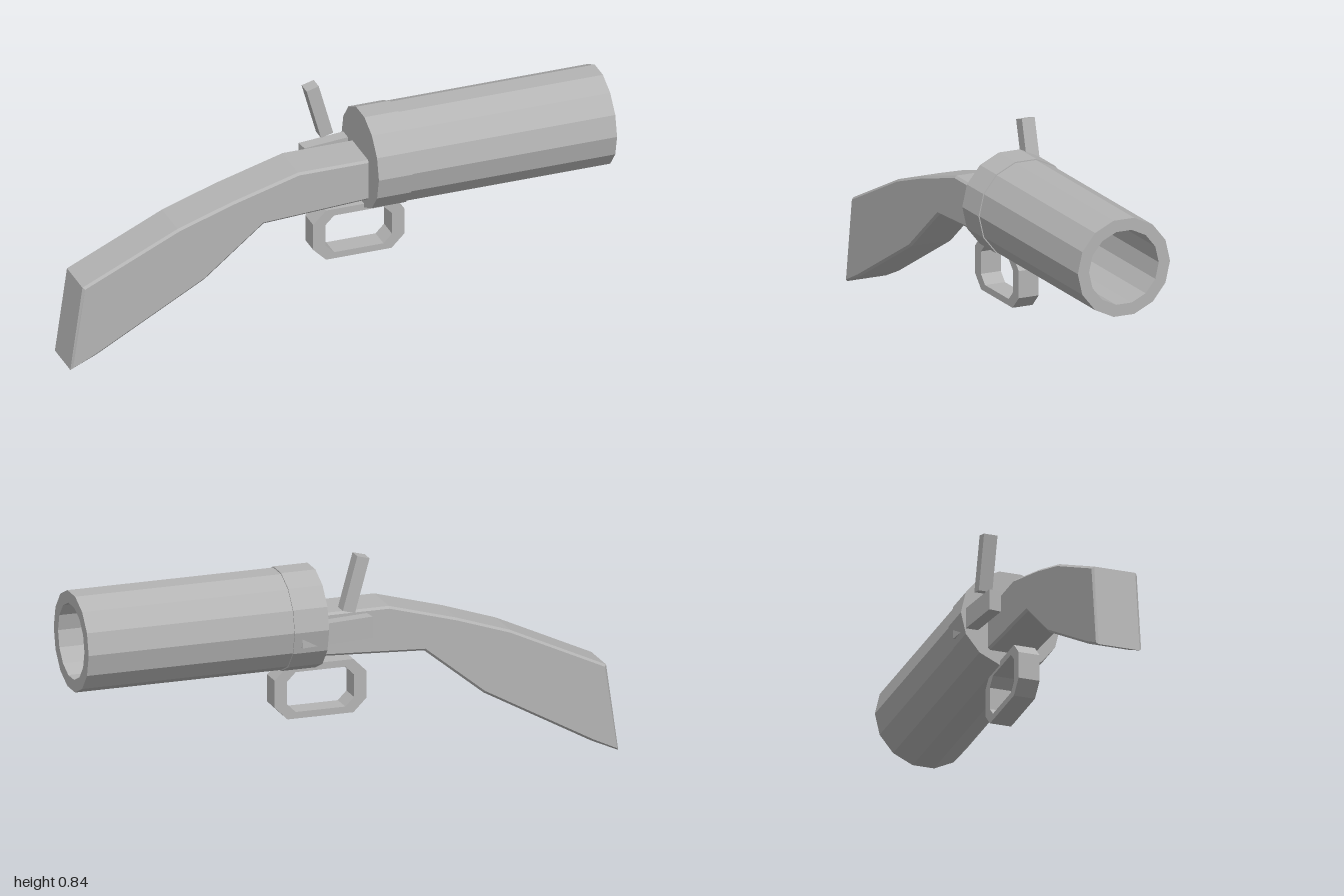
import * as THREE from 'three';

export function createModel() {
  const group = new THREE.Group();
  const grey = new THREE.MeshStandardMaterial({ color: 0xb4b4b4, flatShading: true });
  grey.name = 'plain grey';

  const add = (name, geometry, x = 0, y = 0, z = 0) => {
    const mesh = new THREE.Mesh(geometry, grey);
    mesh.name = name;
    mesh.position.set(x, y, z);
    group.add(mesh);
    return mesh;
  };
  const vectors = (points) => points.map(([x, y]) => new THREE.Vector2(x, y));

  // Fourteen-sided turned part along x; profile points are [radius, x]
  const turned = (name, profile) => {
    const geometry = new THREE.LatheGeometry(vectors(profile), 14);
    geometry.rotateZ(-Math.PI / 2);
    return add(name, geometry, 0, 0.592, 0);
  };

  // Barrel with a wide blind bore, and the collar round its rear end
  turned('barrel', [[0, 0.13], [0.18, 0.13], [0.18, 1], [0.136, 1], [0.136, 0.25], [0, 0.25]]);
  turned('collar', [[0, 0.11], [0.184, 0.11], [0.184, 0.237], [0.17, 0.237]]);

  // Bent stock with narrow chamfers
  const stockOutline = new THREE.Shape(vectors([
    [-1, 0], [-0.9, 0.045], [-0.5, 0.265], [-0.28, 0.443], [0.13, 0.465], [0.13, 0.62],
    [-0.15, 0.62], [-0.4, 0.55], [-0.6, 0.483], [-0.955, 0.318],
  ]));
  const bevel = 0.008;
  const stock = new THREE.ExtrudeGeometry(stockOutline, {
    depth: 0.168 - 2 * bevel, bevelEnabled: true, bevelSegments: 1,
    bevelSize: bevel, bevelThickness: bevel, bevelOffset: -bevel,
  });
  add('stock', stock, 0, 0, -0.084 + bevel);

  // Trigger guard: a rectangular ring with cut corners
  const cutRectangle = (x0, x1, y0, y1, c) => vectors([
    [x0 + c, y0], [x1 - c, y0], [x1, y0 + c], [x1, y1 - c],
    [x1 - c, y1], [x0 + c, y1], [x0, y1 - c], [x0, y0 + c],
  ]);
  const guardOutline = new THREE.Shape(cutRectangle(-0.08, 0.26, 0.232, 0.427, 0.048));
  guardOutline.holes.push(new THREE.Path(cutRectangle(-0.034, 0.214, 0.256, 0.402, 0.032).reverse()));
  add('triggerGuard',
    new THREE.ExtrudeGeometry(guardOutline, { depth: 0.078, bevelEnabled: false }), 0, 0, -0.039);

  // Side bar that runs into the collar, and the hammer above it
  add('sideBar', new THREE.BoxGeometry(0.275, 0.077, 0.045), 0.073, 0.5715, -0.138).rotation.y = 0.13;
  add('hammer', new THREE.BoxGeometry(0.047, 0.202, 0.05), 0, 0.738, -0.131).rotation.z = 0.27;

  return group;
}
